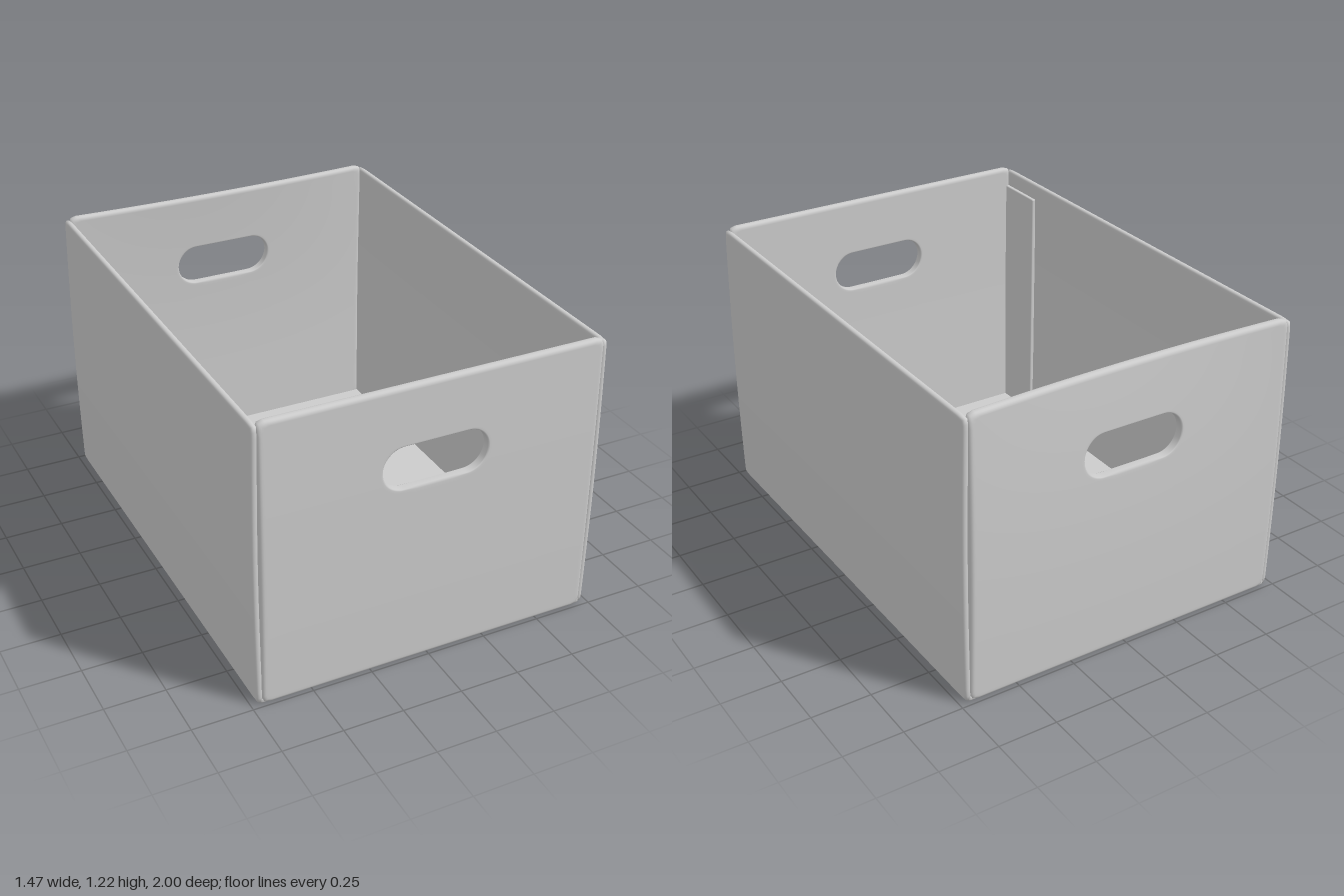
import * as THREE from 'three';
import { RoundedBoxGeometry } from 'three/addons/geometries/RoundedBoxGeometry.js';

const material = new THREE.MeshStandardMaterial({ color: 0xcccccc, side: THREE.DoubleSide });
const PER_SIDE = 48;

// Distance from the centre of a slot with round ends (half straight a, radius r) to its outline
function slotDistance(dx, dy, a, r) {
  const s = r / Math.max(Math.abs(dy), 1e-6);
  if (Math.abs(dx * s) <= a) return s;
  const p = Math.abs(dx) * a;
  return p + Math.sqrt(p * p - a * a + r * r);
}

// Cross-section from the middle out over the rim: [share of the way out, rim inset, depth]
function rings(thickness, edge, slot) {
  const h = thickness / 2;
  const face = slot ? [[0, 0, h - 0.005], [0.004, 0, h - 0.001], [0.014, 0, h], [0.03, 0, h]] : [[0, 0, h]];
  for (let i = 1; i < 12; i++) face.push([i / 12, edge, h]);
  face.push([0.985, edge, h]);
  for (let i = 0; i <= 4; i++) {
    const a = (i / 4) * Math.PI / 2;
    face.push([1, edge * (1 - Math.sin(a)), h - edge + edge * Math.cos(a)]);
  }
  return [...face, ...face.slice().reverse().map(([t, k, z]) => [t, k, -z])];
}

// Upright panel with rounded rim, optional slot and a bend rule giving z from (x, y)
function panel(name, { width, y0, y1, thickness, edge, corner, slot, bend }) {
  const cy = slot ? slot.y : (y0 + y1) / 2;
  const w = width / 2, lo = y0 - cy, hi = y1 - cy;
  const corners = [[-w, lo], [w, lo], [w, hi], [-w, hi]];
  const section = rings(thickness, edge, slot);
  const n = PER_SIDE * 4, m = section.length;
  const positions = [], index = [];
  for (let i = 0; i < n; i++) {
    const side = Math.floor(i / PER_SIDE), f = (i % PER_SIDE) / PER_SIDE;
    const A = corners[side], B = corners[(side + 1) % 4];
    let px = A[0] + (B[0] - A[0]) * f, py = A[1] + (B[1] - A[1]) * f;
    // Round the outline's corners
    const qx = THREE.MathUtils.clamp(px, -w + corner, w - corner);
    const qy = THREE.MathUtils.clamp(py, lo + corner, hi - corner);
    const d = Math.hypot(px - qx, py - qy);
    if (d > corner) {
      px = qx + (px - qx) * corner / d;
      py = qy + (py - qy) * corner / d;
    }
    const len = Math.hypot(px, py);
    const s = slot ? slotDistance(px / len, py / len, slot.a, slot.r) / len : 0;
    const mid = (lo + hi) / 2, half = (hi - lo) / 2;
    for (const [t, k, z] of section) {
      const ox = px * (1 - k / w), oy = mid + (py - mid) * (1 - k / half);
      const x = px * s * (1 - t) + ox * t;
      const y = py * s * (1 - t) + oy * t + cy;
      positions.push(x, y, z + bend(x, y));
    }
    for (let j = 0; j < (slot ? m : m - 1); j++) {
      const a = i * m + j, b = i * m + (j + 1) % m;
      const next = ((i + 1) % n) * m;
      const c = next + j, e = next + (j + 1) % m;
      index.push(a, b, c, b, e, c);
    }
  }
  const geometry = new THREE.BufferGeometry();
  geometry.setAttribute('position', new THREE.Float32BufferAttribute(positions, 3));
  geometry.setIndex(index);
  geometry.computeVertexNormals();
  const mesh = new THREE.Mesh(geometry, material);
  mesh.name = name;
  return mesh;
}

export function createModel() {
  const group = new THREE.Group();
  group.name = 'storageBox';
  const swell = (y) => Math.sin(Math.PI * THREE.MathUtils.clamp(y / 1.22, 0, 1));

  // End walls with hand holes
  const end = {
    width: 1.415, y0: 0.004, y1: 1.22, thickness: 0.038, edge: 0.015, corner: 0.022,
    slot: { y: 0.888, a: 0.13, r: 0.09 },
  };
  const front = panel('frontWall', { ...end, bend: (x, y) => 0.005 * swell(y) });
  front.position.z = 0.974;
  group.add(front);

  // The back wall sags inward along the middle of its top edge
  const back = panel('backWall', {
    ...end,
    bend: (x, y) => 0.009 * swell(y) - 0.022 * (1 - (x / 0.71) ** 2) * (y / 1.22) ** 3,
  });
  back.rotation.y = Math.PI;
  back.position.z = -0.972;
  group.add(back);

  // Long side walls, bowed slightly outward
  for (const s of [-1, 1]) {
    const wall = panel(s > 0 ? 'leftWall' : 'rightWall', {
      width: 1.97, y0: 0.004, y1: 1.208, thickness: 0.025, edge: 0.011, corner: 0.015,
      bend: (x, y) => 0.008 * swell(y),
    });
    wall.rotation.y = s * Math.PI / 2;
    wall.position.x = s * 0.7135;
    group.add(wall);
  }

  // Floor
  const floor = new THREE.Mesh(new RoundedBoxGeometry(1.43, 0.03, 1.97, 3, 0.013), material);
  floor.name = 'floor';
  floor.position.y = 0.015;
  group.add(floor);

  // Folded flap inside the front right corner
  const flap = new THREE.Mesh(new RoundedBoxGeometry(0.02, 1.11, 0.23, 2, 0.006), material);
  flap.name = 'cornerFlap';
  flap.position.set(-0.698, 0.58, 0.85);
  group.add(flap);

  return group;
}
